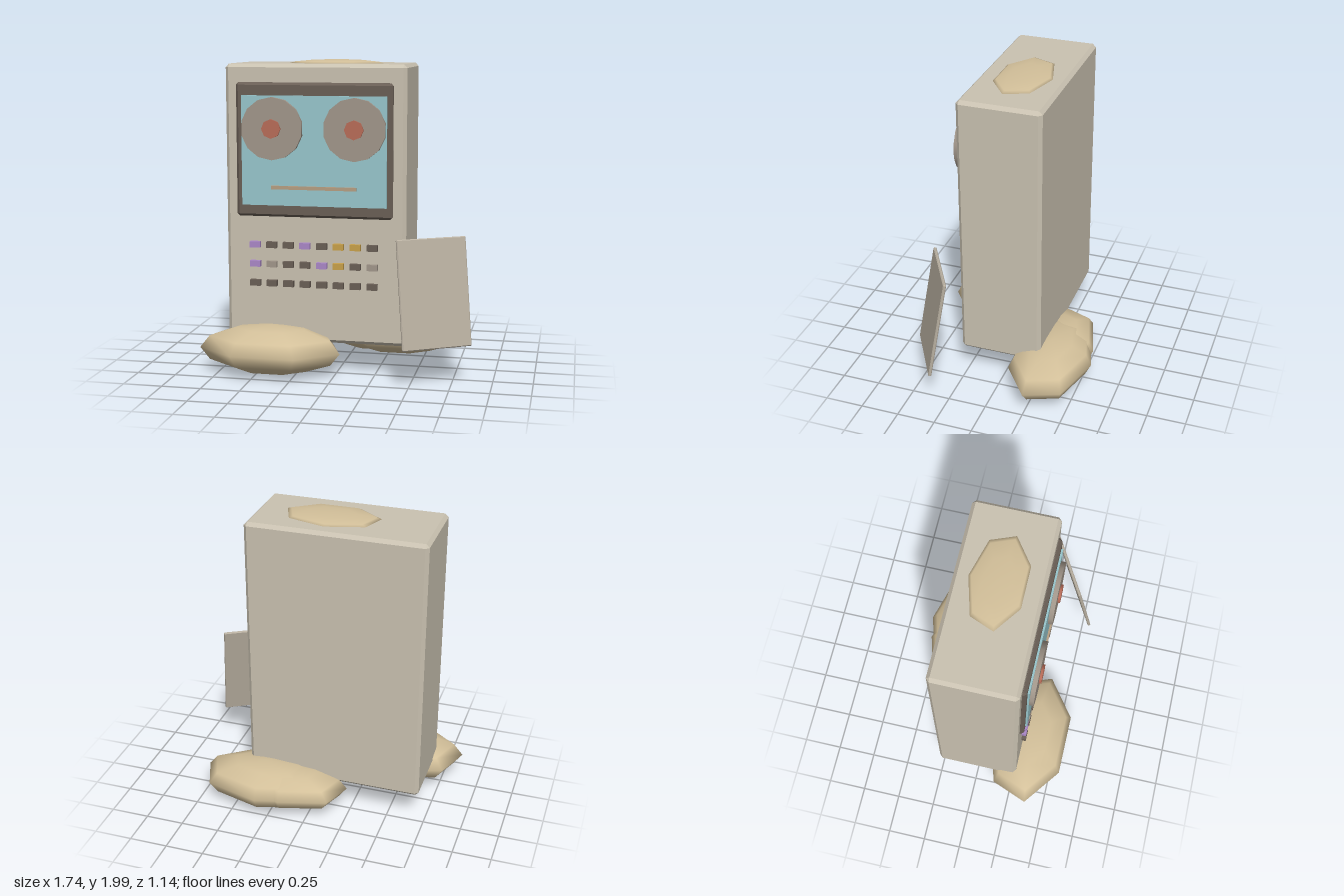
import * as THREE from 'three';
import { ConvexGeometry } from 'three/addons/geometries/ConvexGeometry.js';

const mat = (name, color) => {
  const m = new THREE.MeshStandardMaterial({ color });
  m.name = name;
  return m;
};

// Box with chamfered edges
function chamferBox(w, h, d, c) {
  const pts = [];
  const [x, y, z] = [w / 2, h / 2, d / 2];
  for (const i of [-1, 1]) for (const j of [-1, 1]) for (const k of [-1, 1]) {
    pts.push(new THREE.Vector3(i * x, j * (y - c), k * (z - c)));
    pts.push(new THREE.Vector3(i * (x - c), j * y, k * (z - c)));
    pts.push(new THREE.Vector3(i * (x - c), j * (y - c), k * z));
  }
  return new ConvexGeometry(pts);
}

export function createModel() {
  const M = {
    casing: mat('casing beige', 0xcac2b1),
    clay: mat('clay tan', 0xd3c09a),
    dark: mat('dark brown', 0x6a5f56),
    screen: mat('screen blue', 0x98c6cc),
    grey: mat('warm grey', 0xa1968a),
    pupil: mat('pupil red', 0xb86c58),
    mouth: mat('mouth tan', 0xb79f82),
    purple: mat('button purple', 0xab88c8),
    gold: mat('button gold', 0xc9a14a),
    panel: mat('panel taupe', 0xb9b0a1),
  };
  const model = new THREE.Group();
  model.name = 'computerCreature';

  const add = (name, geometry, material, x, y, z, parent = model) => {
    const mesh = new THREE.Mesh(geometry, material);
    mesh.name = name;
    mesh.position.set(x, y, z);
    parent.add(mesh);
    return mesh;
  };

  // Cabinet, bezel and screen
  add('body', chamferBox(1.155, 1.77, 0.54, 0.022), M.casing, -0.132, 1.09, 0.005);
  add('bezel', chamferBox(1.0, 0.845, 0.04, 0.016), M.dark, -0.135, 1.438, 0.28);
  add('screen', new THREE.BoxGeometry(0.925, 0.69, 0.03), M.screen, -0.133, 1.435, 0.297);

  // Face: disc eyes with pupils, straight mouth
  for (const [side, x] of [['right', -0.395], ['left', 0.13]]) {
    const eye = add(side + 'Eye', new THREE.CylinderGeometry(0.197, 0.197, 0.04, 14), M.grey, x, 1.575, 0.32);
    const pupil = add(side + 'Pupil', new THREE.CylinderGeometry(0.061, 0.061, 0.03, 8), M.pupil, x, 1.575, 0.34);
    eye.rotation.x = pupil.rotation.x = Math.PI / 2;
  }
  add('mouth', new THREE.BoxGeometry(0.543, 0.022, 0.025), M.mouth, -0.132, 1.205, 0.312);

  // Keypad: p purple, d dark, g gold, w warm grey
  const keypad = new THREE.Group();
  keypad.name = 'keypad';
  model.add(keypad);
  const keyColor = { p: M.purple, d: M.dark, g: M.gold, w: M.grey };
  const keyGeometry = new THREE.BoxGeometry(0.067, 0.039, 0.04);
  ['pddpdggd', 'pwddpgdw', 'dddddddd'].forEach((row, r) => {
    [...row].forEach((key, c) => {
      add('button', keyGeometry, keyColor[key], -0.519 + c * 0.108, 0.834 - r * 0.124, 0.285, keypad);
    });
  });

  // Loose panel, turned and leaning back
  const panel = add('sidePanel', chamferBox(0.46, 0.68, 0.02, 0.006), M.panel, 0.64, 0.586, 0.388);
  panel.rotation.set(-Math.PI / 18, Math.PI / 6, 0, 'YXZ');

  // Seven-sided lumps: feet and crown
  const lump = new THREE.SphereGeometry(1, 7, 6, -Math.PI / 2);
  const addLump = (name, x, y, z, rx, ry, rz) =>
    add(name, lump, M.clay, x, y, z).scale.set(rx, ry, rz);
  addLump('frontFoot', -0.413, 0.163, 0.312, 0.47, 0.157, 0.281);
  addLump('backFoot', 0.31, 0.163, -0.308, 0.453, 0.147, 0.265);
  addLump('backFootHeel', 0.16, 0.163, -0.308, 0.396, 0.13, 0.237);
  addLump('crown', -0.04, 1.97, 0.002, 0.325, 0.03, 0.187);

  return model;
}
